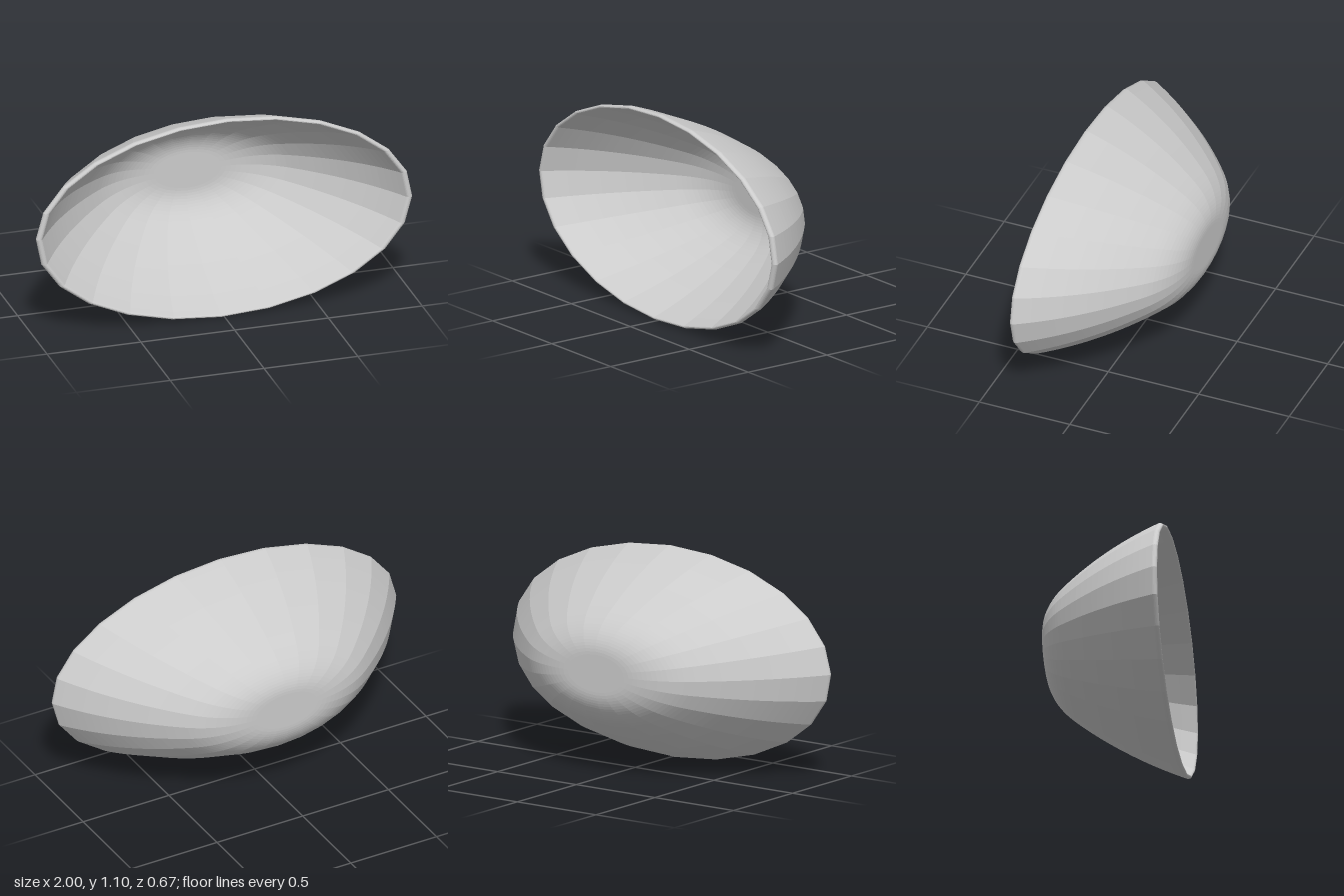
import * as THREE from 'three';

const SIDES = 24;
const WALL = 0.034;
const HEIGHT_RATIO = 0.548;

export function createModel() {
  const group = new THREE.Group();
  group.name = 'ovalBowl';
  const V = (x, y) => new THREE.Vector2(x, y);

  // Outer wall: rounded corner from the flat base, then a gently flaring side
  const corner = new THREE.QuadraticBezierCurve(V(0.18, -0.33), V(0.378, -0.33), V(0.54, -0.2));
  const side = new THREE.QuadraticBezierCurve(V(0.54, -0.2), V(0.825, 0.028), V(1, 0.315));
  const outer = [];
  const inner = [];
  const sample = (curve, steps, first) => {
    for (let i = first; i <= steps; i++) {
      const p = curve.getPoint(i / steps);
      const t = curve.getTangent(i / steps);
      outer.push(p);
      inner.unshift(V(p.x - t.y * WALL, p.y + t.x * WALL));
    }
  };
  sample(corner, 14, 0);
  sample(side, 16, 1);

  // Rounded lip joining the outer and inner walls
  const a = outer[outer.length - 1];
  const b = inner[0];
  const centre = a.clone().add(b).multiplyScalar(0.5);
  const start = a.clone().sub(centre);
  const lip = [];
  for (let i = 1; i < 8; i++) {
    lip.push(start.clone().rotateAround(V(0, 0), (i / 8) * Math.PI).add(centre));
  }

  // Closed shell, turned to open forwards and flattened to an oval
  const profile = [V(0, -0.33), ...outer, ...lip, ...inner, V(0, -0.33 + WALL)];
  const geometry = new THREE.LatheGeometry(profile, SIDES, -0.02);
  geometry.rotateX(Math.PI / 2);
  geometry.scale(1, HEIGHT_RATIO, 1);
  geometry.computeBoundingBox();
  const { min, max } = geometry.boundingBox;
  geometry.translate(0, -min.y, -(min.z + max.z) / 2);

  const bowl = new THREE.Mesh(
    geometry,
    new THREE.MeshStandardMaterial({ color: 0xcccccc, flatShading: true })
  );
  bowl.name = 'bowlShell';
  group.add(bowl);
  return group;
}
